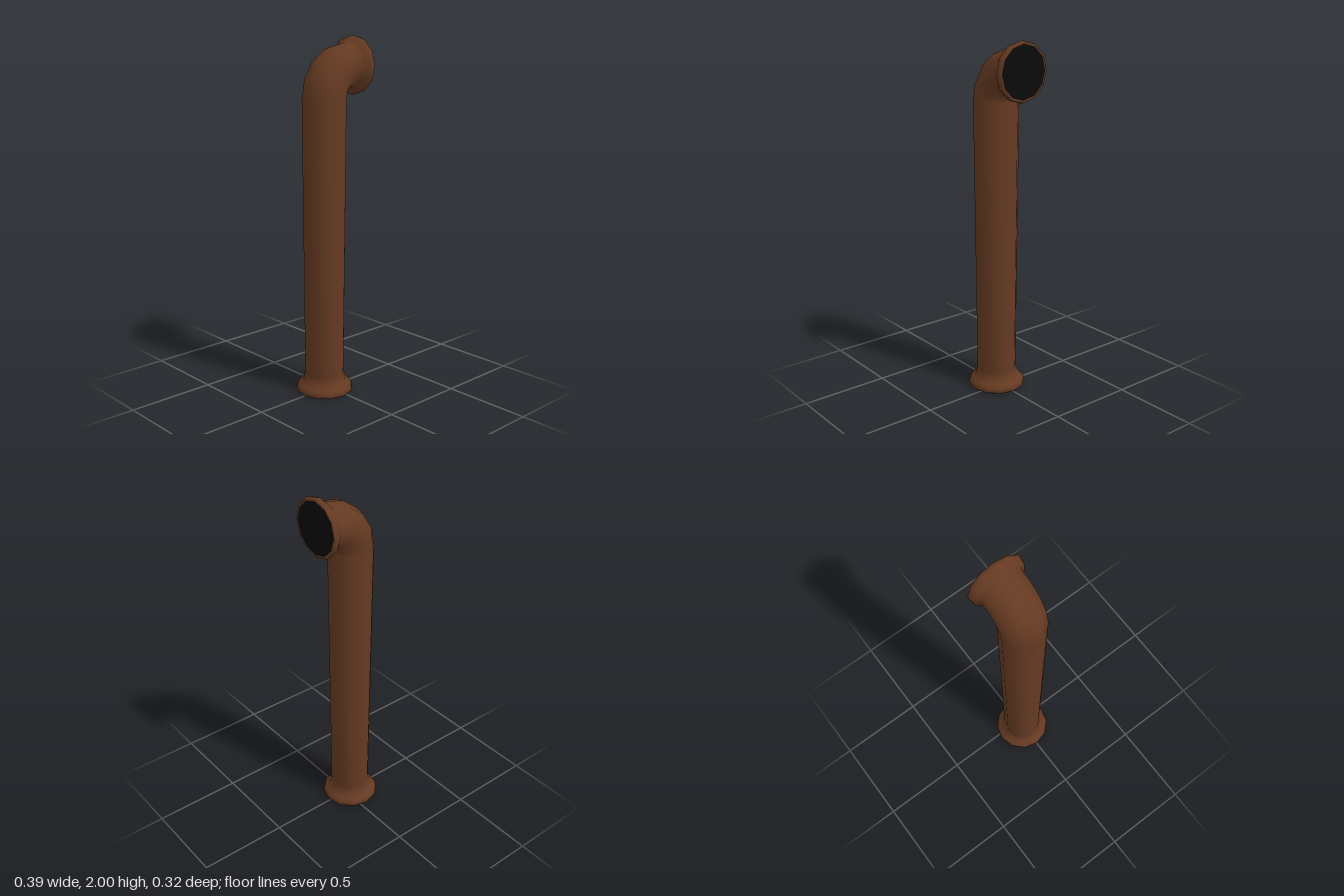
import * as THREE from 'three';

const SIDES = 12;

// Skins a closed 12-sided section along rings { x, y, turn, ru, rz }
// turn = 0 heads up, turn = PI/2 heads toward +x
function skin(rings) {
  const pos = [], index = [];
  for (const { x, y, turn, ru, rz } of rings) {
    for (let j = 0; j < SIDES; j++) {
      const a = (j / SIDES) * Math.PI * 2;
      const u = Math.cos(a) * ru;
      pos.push(x - Math.cos(turn) * u, y + Math.sin(turn) * u, Math.sin(a) * rz);
    }
  }
  for (let i = 0; i < rings.length - 1; i++) {
    for (let j = 0; j < SIDES; j++) {
      const k = (j + 1) % SIDES;
      const a = i * SIDES + j, b = i * SIDES + k;
      const c = a + SIDES, d = b + SIDES;
      index.push(a, b, c, b, d, c);
    }
  }
  const geo = new THREE.BufferGeometry();
  geo.setAttribute('position', new THREE.Float32BufferAttribute(pos, 3));
  geo.setIndex(index);
  geo.computeVertexNormals();
  return geo;
}

export function createModel() {
  const group = new THREE.Group();
  const brown = new THREE.MeshStandardMaterial({ color: 0x653a22 });
  const black = new THREE.MeshStandardMaterial({ color: 0x0a0a0a });
  const add = (name, geo, mat) => {
    const mesh = new THREE.Mesh(geo, mat);
    mesh.name = name;
    group.add(mesh);
    return mesh;
  };

  const axisX = -0.035, bendY = 1.67, endX = 0.125, mouthX = 0.195, mouthY = 1.84;
  const half = Math.PI / 2;

  // Flared collar profile: [distance from the open end, radius]
  const flare = [[0.004, 0.145], [0, 0.152], [0.006, 0.159], [0.02, 0.162],
    [0.035, 0.158], [0.052, 0.143]];

  // Bottom collar
  const rings = flare.map(([d, r]) => ({ x: axisX, y: d, turn: 0, ru: r, rz: r }));
  rings.push({ x: axisX, y: 0.07, turn: 0, ru: 0.124, rz: 0.125 });

  // Slightly widening shaft
  rings.push({ x: axisX, y: 0.11, turn: 0, ru: 0.112, rz: 0.112 });

  // Quarter bend in four steps
  for (let i = 0; i <= 4; i++) {
    const t = (i / 4) * half;
    rings.push({
      x: endX - 0.16 * Math.cos(t),
      y: bendY + 0.17 * Math.sin(t),
      turn: t,
      ru: 0.12 + 0.006 * (i / 4),
      rz: 0.128,
    });
  }

  // Mouth collar
  for (const [d, r] of [...flare].reverse()) {
    rings.push({ x: mouthX - d, y: mouthY, turn: half, ru: r, rz: r });
  }
  add('pipe', skin(rings), brown);

  // Dark openings at both ends
  const disc = new THREE.CircleGeometry(0.146, SIDES);
  const bottom = add('bottomOpening', disc, black);
  bottom.rotation.x = half;
  bottom.position.set(axisX, 0.003, 0);
  const mouth = add('mouthOpening', disc, black);
  mouth.rotation.y = half;
  mouth.position.set(mouthX - 0.003, mouthY, 0);

  return group;
}
